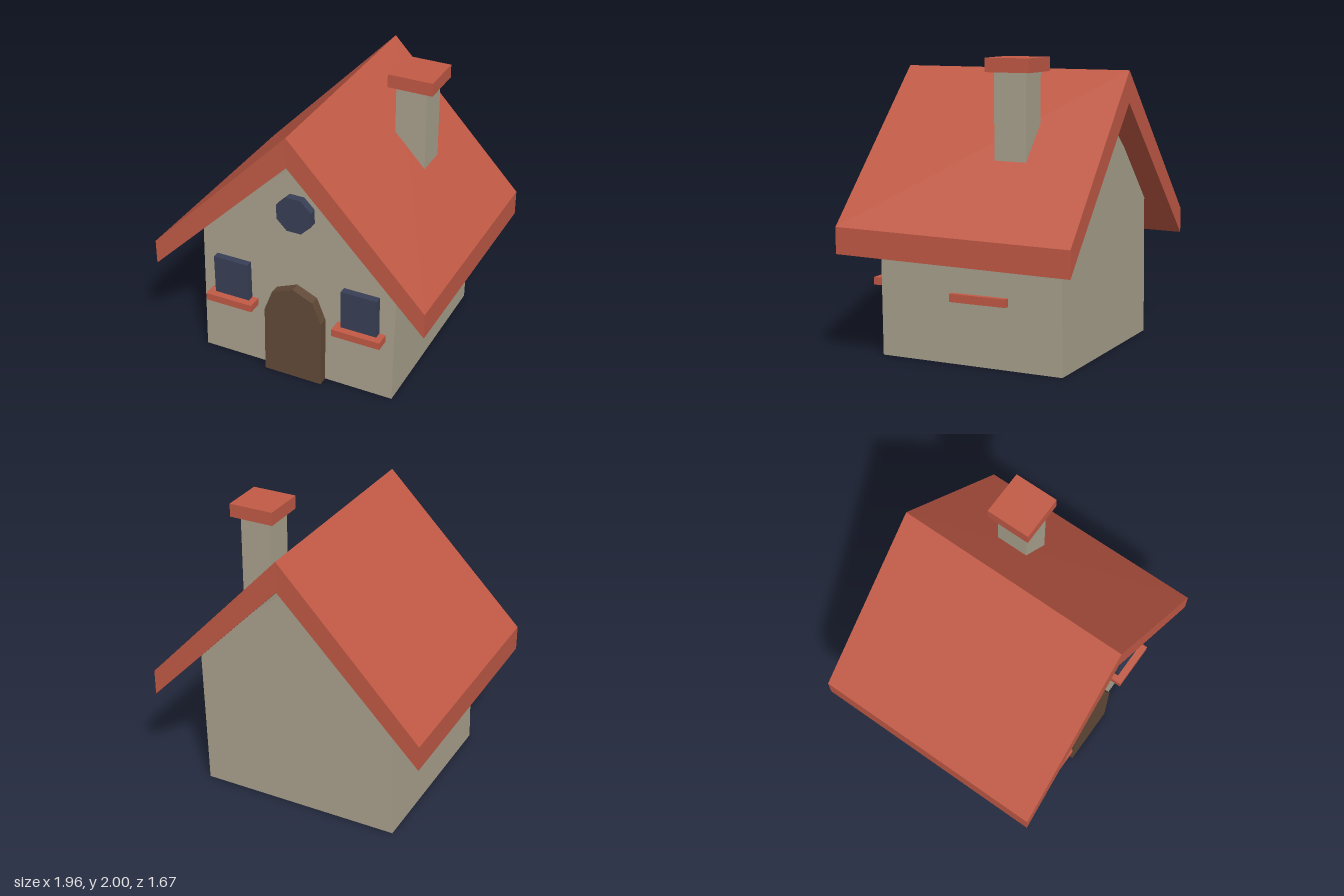
import * as THREE from 'three';

const material = (name, color) => {
  const m = new THREE.MeshStandardMaterial({ color, flatShading: true });
  m.name = name;
  return m;
};

export function createModel() {
  const house = new THREE.Group();
  house.name = 'cottage';
  const stone = material('stone', 0xaba38f);
  const tile = material('red tile', 0xc25a46);
  const wood = material('dark wood', 0x624a38);
  const glass = material('blue glass', 0x383f57);

  const add = (name, geometry, mat) => {
    const mesh = new THREE.Mesh(geometry, mat);
    mesh.name = name;
    house.add(mesh);
    return mesh;
  };
  // Outline in x and y, extruded from z0 to z1
  const slab = (name, points, z0, z1, mat) => {
    const shape = new THREE.Shape(points.map(([x, y]) => new THREE.Vector2(x, y)));
    const g = new THREE.ExtrudeGeometry(shape, { depth: z1 - z0, bevelEnabled: false });
    g.translate(0, 0, z0);
    return add(name, g, mat);
  };
  // Box given by its limits
  const box = (name, [x0, x1], [y0, y1], [z0, z1], mat) => {
    const g = new THREE.BoxGeometry(x1 - x0, y1 - y0, z1 - z0);
    g.translate((x0 + x1) / 2, (y0 + y1) / 2, (z0 + z1) / 2);
    return add(name, g, mat);
  };

  // Walls with gables tucked under the roof
  slab('walls', [[-0.73, 0], [0.69, 0], [0.712, 1.07], [0.02, 1.64], [-0.705, 1.05]], -0.66, 0.66, stone);

  // Gabled roof, its eaves sagging slightly to the back
  const roof = slab('roof', [
    [-0.98, 0.715], [0.02, 1.70], [0.975, 0.72],
    [0.975, 0.9], [0.02, 1.91], [-0.98, 0.89],
  ], -0.825, 0.825, tile);
  const p = roof.geometry.attributes.position;
  for (let i = 0; i < p.count; i++) {
    if (Math.abs(p.getX(i)) < 0.5) continue;
    if (p.getZ(i) < 0) p.setY(i, p.getY(i) - 0.02);
    p.setZ(i, p.getZ(i) * 1.015);
  }
  roof.geometry.computeVertexNormals();

  // Chimney
  box('chimneyStack', [0.34, 0.557], [1.3, 1.92], [-0.338, -0.112], stone);
  box('chimneyCap', [0.295, 0.61], [1.908, 2], [-0.383, -0.072], tile);

  // Arched door
  slab('door', [
    [-0.23, 0], [0.195, 0], [0.2, 0.5], [0.14, 0.655],
    [-0.005, 0.72], [-0.16, 0.655], [-0.22, 0.5],
  ], 0.6, 0.73, wood);

  // Front windows with sills
  for (const [side, x] of [['right', -0.48], ['left', 0.465]]) {
    box(side + 'Window', [x - 0.128, x + 0.128], [0.49, 0.797], [0.62, 0.71], glass);
    box(side + 'WindowSill', [x - 0.173, x + 0.173], [0.462, 0.514], [0.62, 0.76], tile);
  }

  // Octagonal gable window
  const round = new THREE.CylinderGeometry(0.134, 0.134, 0.1, 8);
  round.rotateY(Math.PI / 8).rotateX(Math.PI / 2).translate(0.006, 1.286, 0.665);
  add('gableWindow', round, glass);

  // Sills on the side walls
  box('leftSideSill', [0.66, 0.737], [0.423, 0.478], [-0.28, 0.13], tile);
  box('rightSideSill', [-0.757, -0.68], [0.417, 0.472], [-0.28, 0.14], tile);

  return house;
}
